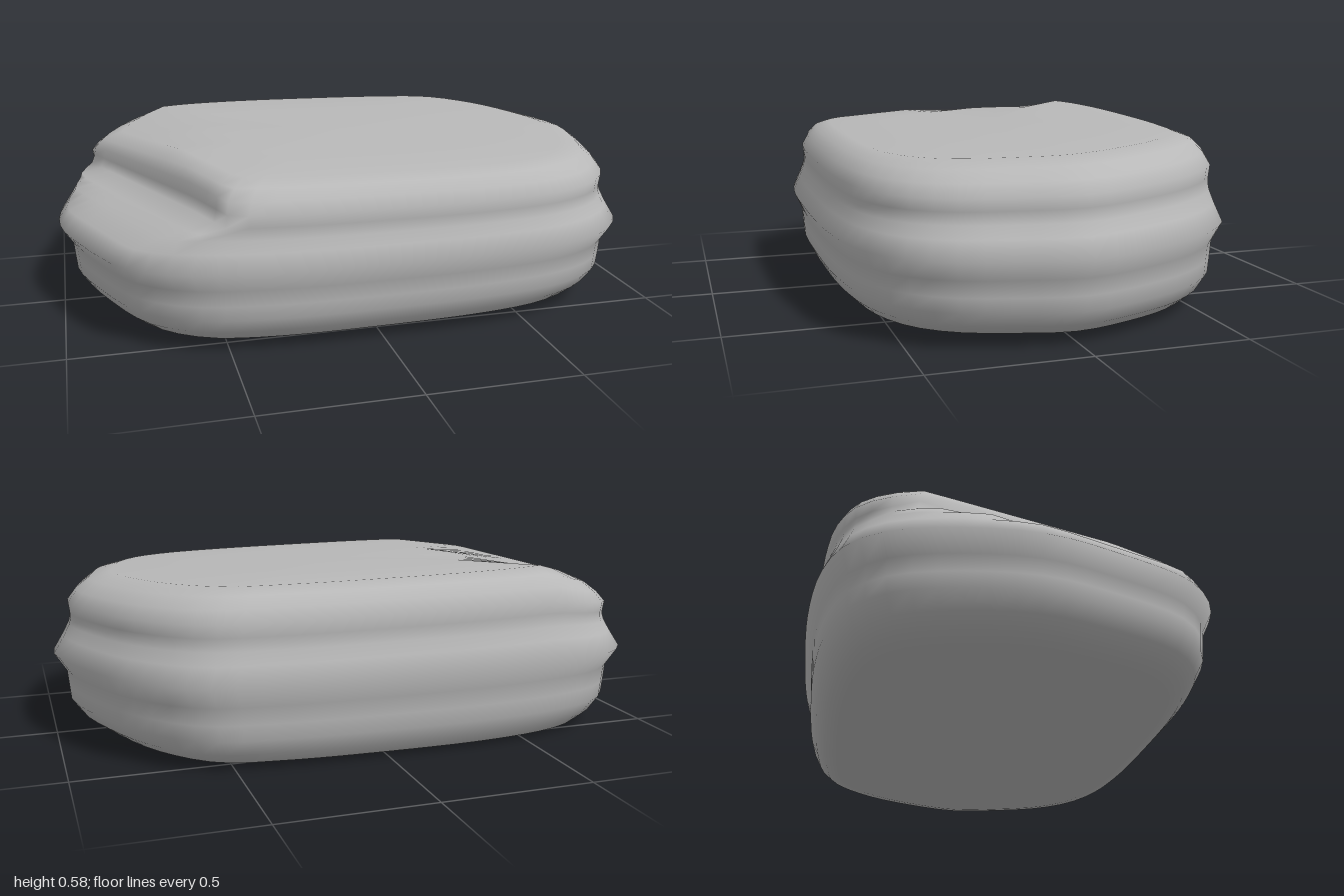
import * as THREE from 'three';

const SEG = 72;

// Widest outline of the stone as [x, z], from its left side round by the front
const outline = new THREE.CatmullRomCurve3([
  [1, 0], [0.97, 0.2], [0.91, 0.4], [0.81, 0.53], [0.65, 0.615], [0.4, 0.66],
  [0, 0.675], [-0.4, 0.665], [-0.63, 0.62], [-0.77, 0.53], [-0.84, 0.44], [-0.93, 0.23],
  [-1, 0], [-0.995, -0.22], [-0.93, -0.46], [-0.82, -0.58], [-0.66, -0.64], [-0.4, -0.675],
  [0, -0.68], [0.4, -0.66], [0.63, -0.615], [0.81, -0.45], [0.93, -0.23],
].map(([x, z]) => new THREE.Vector3(x, 0, z)), true).getSpacedPoints(SEG).slice(0, SEG);

// Horizontal rings from bottom to top: [scale, height, limit of the chipped corner]
const rings = [
  [0.45, 0.014, 9], [0.8, 0.015, 9], [0.86, 0.028, 9], [0.91, 0.065, 9],
  [0.945, 0.115, 9], [0.95, 0.165, 9], [0.955, 0.22, 9], [0.995, 0.285, 9],
  [0.96, 0.345, 0.9], [0.94, 0.385, 0.82], [0.935, 0.405, 0.76], [0.935, 0.425, 0.685],
  [0.94, 0.465, 0.675], [0.91, 0.505, 0.67], [0.865, 0.54, 0.65],
  [0.79, 0.56, 0.6], [0.45, 0.566, 0.4],
];

function buildStone() {
  const pos = [], index = [];
  const add = (x, y, z) => {
    const t = y / 0.566;
    // the top and bottom faces tilt in opposite directions
    const tilt = t * (-0.012 * x - 0.03 * z) + (1 - t) * (0.006 * x + 0.022 * z);
    // the top rolls down towards the right end
    const roll = 0.3 * t ** 3 * Math.max(0, -0.58 - x);
    pos.push(x, y + tilt - roll, z);
  };
  for (const [scale, y, limit] of rings) {
    for (const p of outline) {
      // diagonal break on the front right corner, leaving a ledge below
      const reach = -0.937 * p.x + 0.35 * p.z;
      const k = reach > 0 ? Math.min(scale, limit / reach) : scale;
      add(p.x * k, y, p.z * k);
    }
  }
  for (let row = 0; row < rings.length - 1; row++) {
    for (let i = 0; i < SEG; i++) {
      const j = (i + 1) % SEG, b = row * SEG, u = b + SEG;
      index.push(b + i, u + i, b + j, b + j, u + i, u + j);
    }
  }
  // flat caps
  const bottom = rings.length * SEG, top = bottom + 1, last = (rings.length - 1) * SEG;
  add(0, 0.014, 0);
  add(0, 0.567, 0);
  for (let i = 0; i < SEG; i++) {
    const j = (i + 1) % SEG;
    index.push(bottom, i, j, top, last + j, last + i);
  }
  const g = new THREE.BufferGeometry();
  g.setAttribute('position', new THREE.Float32BufferAttribute(pos, 3));
  g.setIndex(index);
  g.computeBoundingBox();
  g.translate(0, -g.boundingBox.min.y, 0);
  g.computeVertexNormals();
  return g;
}

export function createModel() {
  const group = new THREE.Group();
  group.name = 'flatStone';
  const stone = new THREE.MeshStandardMaterial({ color: 0xb8b8b8 });
  stone.name = 'stoneGrey';
  const mesh = new THREE.Mesh(buildStone(), stone);
  mesh.name = 'stoneSlab';
  group.add(mesh);
  return group;
}
